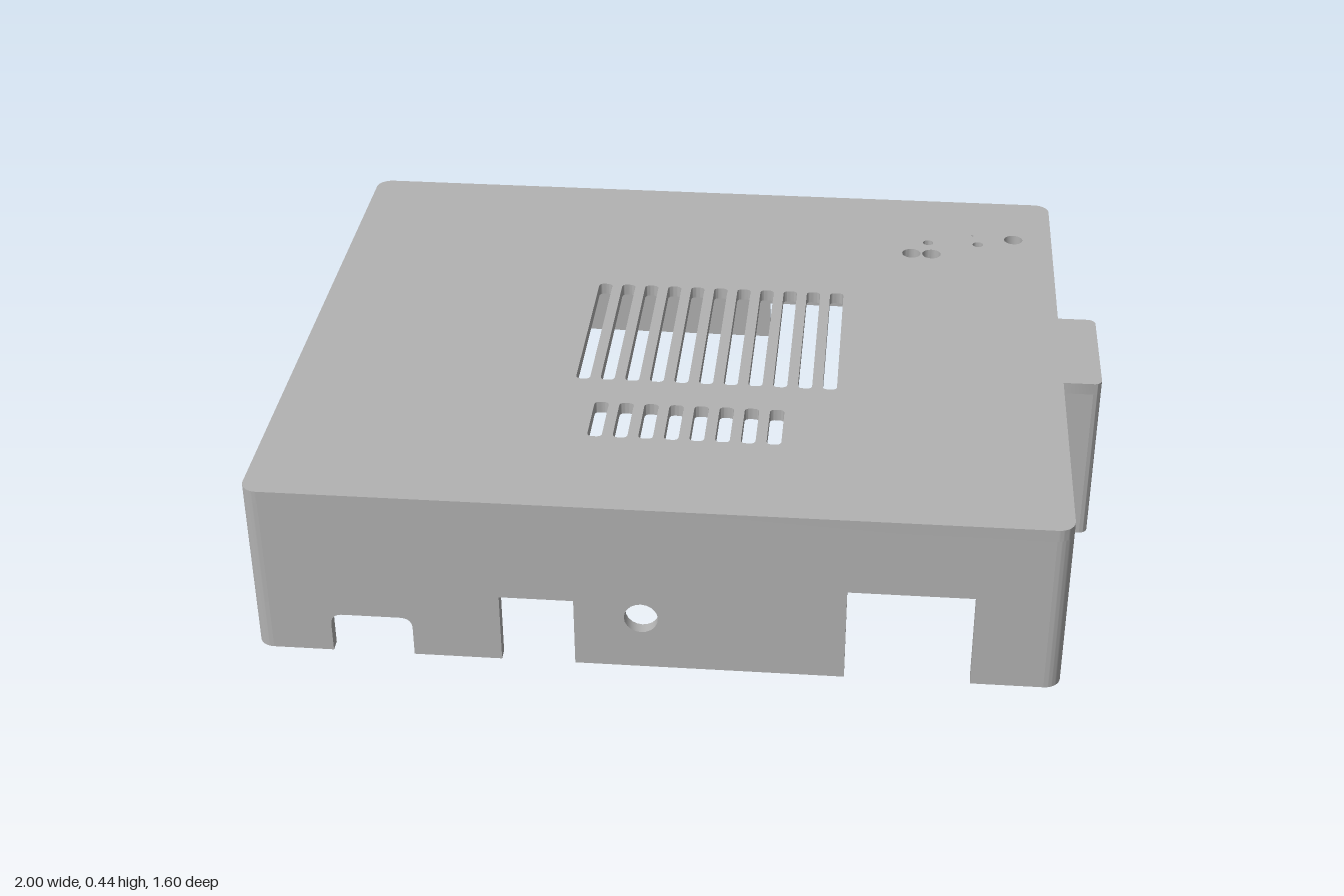
import * as THREE from 'three';
import { toCreasedNormals } from 'three/addons/utils/BufferGeometryUtils.js';

const X0 = -1, X1 = 0.905, Z = 0.8, H = 0.445; // shell extents
const T = 0.03, R = 0.04;                      // wall thickness, corner radius
const WALL_H = H - T;

const extrude = (shape, depth) => toCreasedNormals(
  new THREE.ExtrudeGeometry(shape, { depth, bevelEnabled: false, curveSegments: 10 }), 0.6);

function circle(x, y, r) {
  return new THREE.Path().absarc(x, y, r, 0, Math.PI * 2, true);
}

// Upright slot with rounded corners
function slot(x, y0, y1, w, r = 0.014) {
  const a = x - w / 2, b = x + w / 2;
  const p = new THREE.Path();
  p.moveTo(a, y0 + r).lineTo(a, y1 - r).quadraticCurveTo(a, y1, a + r, y1);
  p.lineTo(b - r, y1).quadraticCurveTo(b, y1, b, y1 - r);
  p.lineTo(b, y0 + r).quadraticCurveTo(b, y0, b - r, y0);
  p.lineTo(a + r, y0).quadraticCurveTo(a, y0, a, y0 + r);
  return p;
}

// Round hole with flat top and bottom
function flattedHole(x, y, r, half) {
  const t = Math.asin(half / r);
  const p = new THREE.Path();
  p.absarc(x, y, r, -t, t, false);
  p.absarc(x, y, r, Math.PI - t, Math.PI + t, false);
  p.closePath();
  return p;
}

// Wall outline from u0 to u1, with notches [start, end, height, radius] in its lower edge
function wallShape(u0, u1, height, notches = [], holes = []) {
  const s = new THREE.Shape();
  s.moveTo(u0, 0);
  for (const [a, b, h, r = 0] of notches) {
    s.lineTo(a, 0);
    s.lineTo(a, h - r);
    if (r) s.quadraticCurveTo(a, h, a + r, h);
    s.lineTo(b - r, h);
    if (r) s.quadraticCurveTo(b, h, b, h - r);
    s.lineTo(b, 0);
  }
  s.lineTo(u1, 0);
  s.lineTo(u1, height);
  s.lineTo(u0, height);
  s.closePath();
  s.holes.push(...holes);
  return s;
}

export function createModel() {
  const group = new THREE.Group();
  const grey = new THREE.MeshStandardMaterial({ color: 0xb2b2b2 });
  grey.name = 'plain grey';

  const add = (name, geometry, x = 0, y = 0, z = 0) => {
    const mesh = new THREE.Mesh(geometry, grey);
    mesh.name = name;
    mesh.position.set(x, y, z);
    group.add(mesh);
    return mesh;
  };
  const upright = (shape, depth) => extrude(shape, depth).rotateX(-Math.PI / 2);
  const sideways = (shape, depth) => extrude(shape, depth).rotateY(Math.PI / 2);

  // Top plate, with rounded corners and a tab over the side boss (shape y = -z)
  const top = new THREE.Shape();
  top.moveTo(X0 + R, -Z).lineTo(X1 - R, -Z);
  top.absarc(X1 - R, -Z + R, R, -Math.PI / 2, 0, false);
  top.lineTo(X1, -0.16).lineTo(0.98, -0.16);
  top.absarc(0.98, -0.14, 0.02, -Math.PI / 2, 0, false);
  top.absarc(0.98, 0.14, 0.02, 0, Math.PI / 2, false);
  top.lineTo(X1, 0.16);
  top.absarc(X1 - R, Z - R, R, 0, Math.PI / 2, false);
  top.absarc(X0 + R, Z - R, R, Math.PI / 2, Math.PI, false);
  top.absarc(X0 + R, -Z + R, R, Math.PI, Math.PI * 1.5, false);
  // Two banks of ventilation slots
  for (let i = 0; i < 11; i++) top.holes.push(slot(-0.278 + i * 0.061, -0.24, 0.245, 0.035));
  for (let i = 0; i < 8; i++) top.holes.push(slot(-0.217 + i * 0.061, -0.5, -0.345, 0.035));
  // Indicator holes
  for (const [x, y, r] of [[0.525, 0.485, 0.025], [0.579, 0.485, 0.025], [0.57, 0.55, 0.014],
    [0.705, 0.55, 0.014], [0.802, 0.585, 0.025], [0.692, 0.6, 0.003]]) {
    top.holes.push(circle(x, y, r));
  }
  add('topPlate', upright(top, T), 0, WALL_H, 0);

  // Front wall with connector openings
  const a = X0 + R, b = X1 - R;
  add('frontWall', extrude(wallShape(a, b, WALL_H,
    [[-0.815, -0.62, 0.105, 0.03], [-0.41, -0.235, 0.18], [0.4, 0.695, 0.245]],
    [circle(-0.077, 0.14, 0.04)]), T), 0, 0, Z - T);

  // Back wall in two layers, giving stepped openings
  add('backWallOuter', extrude(wallShape(a, b, WALL_H,
    [[-0.75, -0.425, 0.14], [0.09, 0.41, 0.14]]), T / 2), 0, 0, -Z);
  add('backWallInner', extrude(wallShape(a, b, WALL_H,
    [[-0.71, -0.46, 0.11], [0.13, 0.37, 0.11]]), T / 2), 0, 0, -Z + T / 2);

  // Side walls (shape x = -z)
  const bossHole = () => flattedHole(0, 0.29, 0.1, 0.085);
  add('sideWallWithPorts', sideways(wallShape(-Z + R, Z - R, WALL_H, [],
    [circle(0.075, 0.155, 0.05), circle(-0.41, 0.155, 0.05)]), T), X0, 0, 0);
  add('sideWallBehindBoss', sideways(wallShape(-Z + R, Z - R, WALL_H, [], [bossHole()]), T), X1 - T, 0, 0);

  // Rounded vertical corners
  const corner = new THREE.Shape();
  corner.absarc(0, 0, R, 0, Math.PI / 2, false);
  corner.absarc(0, 0, R - T, Math.PI / 2, 0, true);
  corner.closePath();
  [[b, -1], [a, -1], [a, 1], [b, 1]].forEach(([x, s], k) => {
    add('wallCorner', upright(corner, WALL_H), x, 0, s * (Z - R)).rotation.y = k * Math.PI / 2;
  });

  // Side boss with a flatted hole and rounded outer edges
  add('bossBody', sideways(wallShape(-0.16, 0.16, WALL_H, [], [bossHole()]), 0.98 - X1), X1, 0, 0);
  add('bossFace', sideways(wallShape(-0.14, 0.14, WALL_H, [], [bossHole()]), 0.02), 0.98, 0, 0);
  for (const s of [-1, 1]) {
    const edge = new THREE.Shape();
    edge.moveTo(0, 0);
    edge.absarc(0, 0, 0.02, 0, Math.PI / 2, false);
    edge.closePath();
    add('bossEdge', upright(edge, WALL_H), 0.98, 0, s * 0.14).rotation.y = s > 0 ? -Math.PI / 2 : 0;
  }

  // Hollow screw posts in two corners
  for (const s of [-1, 1]) {
    const ring = new THREE.Shape().absarc(0, 0, 0.047, 0, Math.PI * 2, false);
    ring.holes.push(circle(0, 0, 0.025));
    add('screwPost', upright(ring, WALL_H - 0.01), X0 + 0.09, 0.01, s * (Z - 0.09));
  }

  return group;
}
